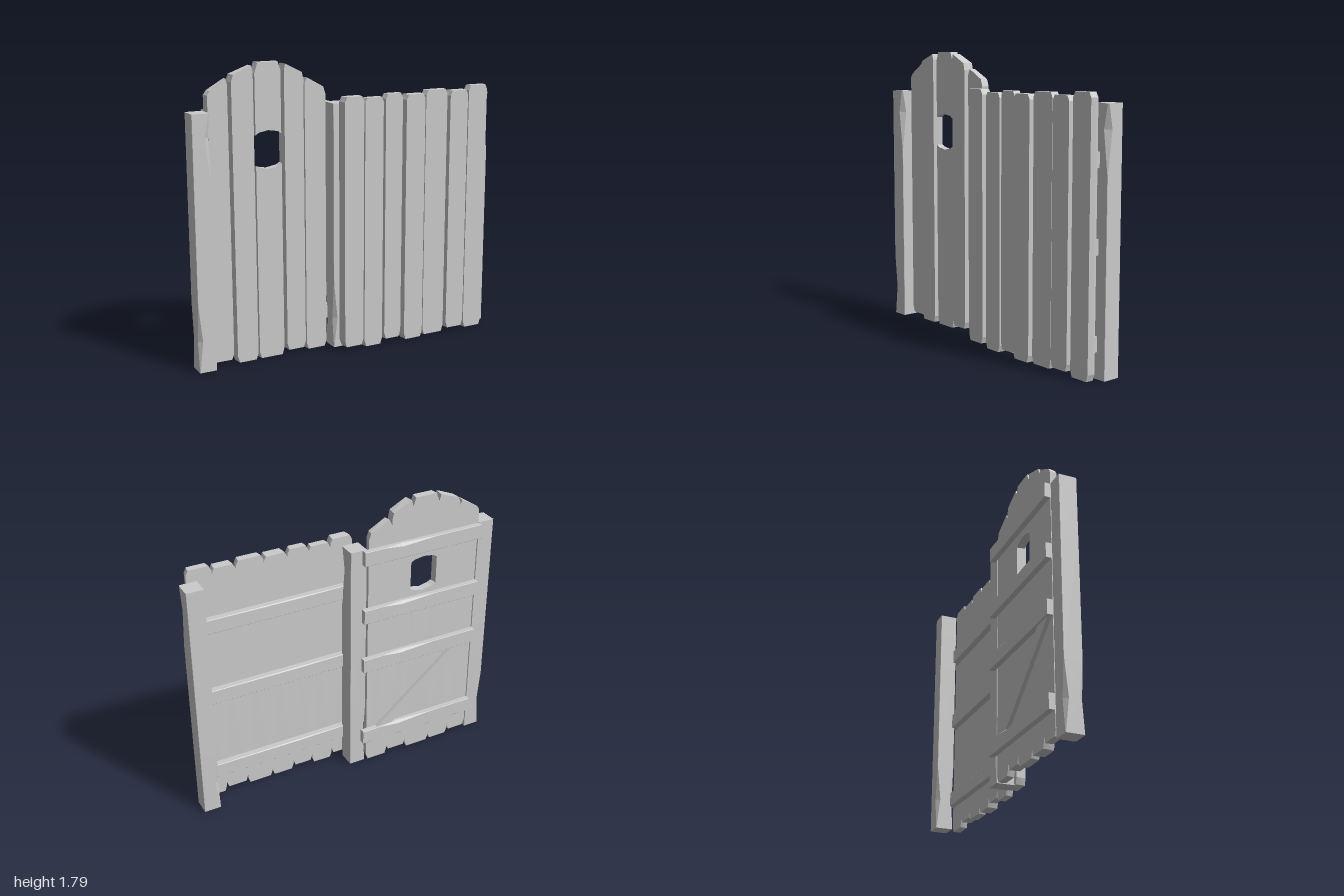
import * as THREE from 'three';

const material = new THREE.MeshStandardMaterial({ color: 0xcccccc, flatShading: true });

// Skin between rings stacked along z (each ring counter-clockwise seen from +z), with fan caps
function loft(rings) {
  const pos = [];
  const n = rings[0].length;
  const tri = (...pts) => pts.forEach((p) => pos.push(...p));
  for (let r = 0; r < rings.length - 1; r++) {
    for (let i = 0; i < n; i++) {
      const j = (i + 1) % n;
      const a = rings[r][i], b = rings[r][j], c = rings[r + 1][j], d = rings[r + 1][i];
      tri(a, b, c);
      tri(a, c, d);
    }
  }
  const cap = (ring, flip) => {
    const mid = [0, 1, 2].map((k) => ring.reduce((s, p) => s + p[k], 0) / n);
    for (let i = 0; i < n; i++) {
      const a = ring[i], b = ring[(i + 1) % n];
      flip ? tri(mid, b, a) : tri(mid, a, b);
    }
  };
  cap(rings[0], true);
  cap(rings[rings.length - 1], false);
  const geometry = new THREE.BufferGeometry();
  geometry.setAttribute('position', new THREE.Float32BufferAttribute(pos, 3));
  geometry.computeVertexNormals();
  return geometry;
}

// Squared timber along z; rows are [z, cuts of the corners (+x+y, -x+y, -x-y, +x-y)]
function beam(w, h, rows) {
  const x = w / 2, y = h / 2;
  return loft(rows.map(([z, a = 0.002, b = 0.002, c = 0.002, d = 0.002]) => [
    [x, y - a, z], [x - a, y, z], [-x + b, y, z], [-x, y - b, z],
    [-x, -y + c, z], [-x + c, -y, z], [x - d, -y, z], [x, -y + d, z],
  ]));
}

// Board from an outline, with its long edges tapering toward the front
function board(outline, back, front, inset = 0.008) {
  const xs = outline.map((p) => p[0]);
  const x0 = Math.min(...xs), x1 = Math.max(...xs), mid = (x0 + x1) / 2;
  const k = 1 - (2 * inset) / (x1 - x0);
  const bend = back + (front - back) * 0.3;
  return loft([
    outline.map(([x, y]) => [x, y, back]),
    outline.map(([x, y]) => [x, y, bend]),
    outline.map(([x, y]) => [mid + (x - mid) * k, y, front]),
  ]);
}

// Plank outline: worn bottom corners plus a top edge listed from right to left
const plank = (x0, x1, y, top) => [
  [x0, y + 0.04], [x0 + 0.014, y], [x1 - 0.014, y], [x1, y + 0.04], ...top,
];

export function createModel() {
  const model = new THREE.Group();
  const add = (parent, name, geometry) => {
    const mesh = new THREE.Mesh(geometry, material);
    mesh.name = name;
    parent.add(mesh);
    return mesh;
  };
  const group = (name) => {
    const g = new THREE.Group();
    g.name = name;
    model.add(g);
    return g;
  };

  // Three posts with chipped edges
  const posts = group('posts');
  for (const x of [-0.947, -0.062, 0.947]) {
    const post = beam(0.106, 0.11, [
      [0.01],
      [0.2, 0.002, 0.024, 0.024],
      [0.42],
      [1.15],
      [1.4, 0.002, 0.002, 0.002, 0.032],
      [1.54, 0.002, 0.002, 0.002, 0.006],
    ]).rotateX(-Math.PI / 2);
    add(posts, 'post', post).position.set(x, 0, -0.03);
  }

  // Fixed fence panel: [left, right, bottom, top, front]
  const fence = group('fencePanel');
  const fencePlanks = [
    [-0.09, 0.055, 0.03, 1.585, 0.11],
    [0.055, 0.197, 0.005, 1.57, 0.095],
    [0.197, 0.331, 0.03, 1.585, 0.095],
    [0.331, 0.48, 0.01, 1.573, 0.115],
    [0.48, 0.65, 0.01, 1.59, 0.098],
    [0.65, 0.795, 0.03, 1.577, 0.11],
    [0.795, 0.948, 0.005, 1.6, 0.096],
  ];
  for (const [x0, x1, y0, y1, front] of fencePlanks) {
    const top = [[x1, y1 - 0.03], [x1 - 0.016, y1], [x0 + 0.016, y1], [x0, y1 - 0.03]];
    add(fence, 'fencePlank', board(plank(x0, x1, y0, top), 0.05, front));
  }
  for (const y of [1.235, 0.755, 0.21]) {
    const rail = beam(0.042, 0.09, [[-0.06], [0.3, 0.006], [0.94]]).rotateY(Math.PI / 2);
    add(fence, 'fenceRail', rail).position.set(0, y, 0.031);
  }

  // Arched gate; the middle plank is split around the window
  const gate = group('gate');
  const back = -0.085;
  const gatePlanks = [
    ['gatePlank', -0.04, plank(-0.888, -0.75, 0.03,
      [[-0.75, 1.685], [-0.76, 1.718], [-0.87, 1.655], [-0.888, 1.63]])],
    ['gatePlank', -0.02, plank(-0.75, -0.6, 0.01,
      [[-0.6, 1.75], [-0.61, 1.785], [-0.735, 1.74], [-0.75, 1.7]])],
    ['gatePlankLower', -0.035, plank(-0.6, -0.42, 0.005,
      [[-0.42, 1.2], [-0.445, 1.187], [-0.51, 1.175], [-0.575, 1.187], [-0.6, 1.2]])],
    ['gatePlankUpper', -0.035, [
      [-0.6, 1.38], [-0.575, 1.395], [-0.51, 1.405], [-0.445, 1.395], [-0.42, 1.38],
      [-0.42, 1.75], [-0.438, 1.8], [-0.578, 1.8], [-0.6, 1.74]]],
    ['gatePlank', -0.022, plank(-0.42, -0.28, 0.03,
      [[-0.28, 1.69], [-0.29, 1.732], [-0.41, 1.787], [-0.42, 1.75]])],
    ['gatePlank', -0.04, plank(-0.28, -0.127, 0.005,
      [[-0.127, 1.595], [-0.142, 1.637], [-0.262, 1.697], [-0.28, 1.66]])],
  ];
  for (const [name, front, outline] of gatePlanks) {
    add(gate, name, board(outline, back, front));
  }

  // Gate rails with a worn upper back edge
  for (const y of [1.495, 1.105, 0.757, 0.215]) {
    const rail = beam(0.036, 0.092, [[-0.89], [-0.58], [-0.34, 0.016], [-0.22], [-0.085]])
      .rotateY(Math.PI / 2);
    add(gate, 'gateRail', rail).position.set(0, y, -0.103);
  }

  // Diagonal brace between the two lower rails
  const brace = [[-0.87, 0.71], [-0.3, 0.26], [-0.19, 0.26], [-0.735, 0.71]];
  add(gate, 'diagonalBrace', board(brace, -0.108, back, 0));

  return model;
}
